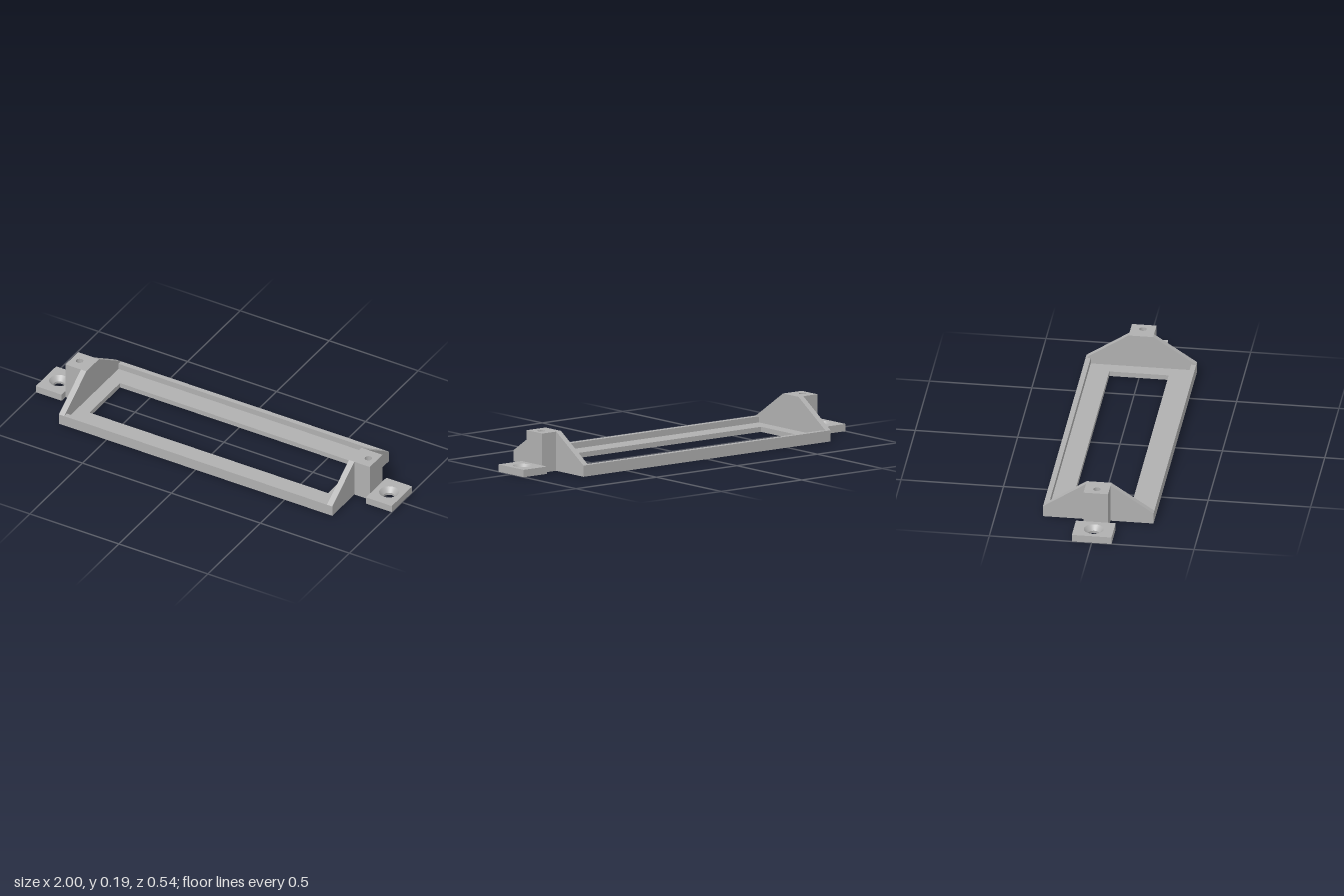
import * as THREE from 'three';

const grey = new THREE.MeshStandardMaterial({ color: 0xb0b0b0 });
grey.name = 'plain grey';

function mesh(name, geometry) {
  const m = new THREE.Mesh(geometry, grey);
  m.name = name;
  return m;
}

function rectPath(Type, w, d) {
  const p = new Type();
  p.moveTo(-w, -d);
  p.lineTo(w, -d);
  p.lineTo(w, d);
  p.lineTo(-w, d);
  p.closePath();
  return p;
}

// Rectangular slab (half sizes w, d) between heights y0 and y1 with one hole
function slab(w, d, hole, y0, y1) {
  const shape = rectPath(THREE.Shape, w, d);
  shape.holes.push(hole);
  const g = new THREE.ExtrudeGeometry(shape, { depth: y1 - y0, bevelEnabled: false, curveSegments: 16 });
  return g.rotateX(-Math.PI / 2).translate(0, y0, 0);
}

function roundHole(r) {
  return new THREE.Path().absarc(0, 0, r, 0, Math.PI * 2, true);
}

// End wall, screw post and mounting tab for the +x side
function makeEnd(name) {
  const end = new THREE.Group();
  end.name = name;

  // Sloped end wall standing on the rim
  const profile = new THREE.Shape();
  profile.moveTo(-0.27, 0.055);
  profile.lineTo(0.27, 0.055);
  profile.lineTo(0.06, 0.193);
  profile.lineTo(-0.06, 0.193);
  profile.closePath();
  const wall = new THREE.ExtrudeGeometry(profile, { depth: 0.03, bevelEnabled: false });
  end.add(mesh('endWall', wall.rotateY(Math.PI / 2).translate(0.738, 0, 0)));

  // Post with a blind screw hole
  const postX = 0.8115;
  end.add(mesh('postBase', new THREE.BoxGeometry(0.087, 0.09, 0.12).translate(postX, 0.045, 0)));
  end.add(mesh('postTop', slab(0.0435, 0.06, roundHole(0.018), 0.09, 0.193).translate(postX, 0, 0)));

  // Tab with a countersunk hole
  const tabX = 0.9275;
  end.add(mesh('tabBottom', slab(0.0725, 0.097, roundHole(0.027), 0, 0.012).translate(tabX, 0, 0)));
  end.add(mesh('tabTop', slab(0.0725, 0.097, roundHole(0.048), 0.012, 0.036).translate(tabX, 0, 0)));
  const cone = [new THREE.Vector2(0.048, 0.036), new THREE.Vector2(0.027, 0.012)];
  end.add(mesh('countersink', new THREE.LatheGeometry(cone, 32).translate(tabX, 0, 0)));
  return end;
}

export function createModel() {
  const model = new THREE.Group();
  model.name = 'mountingFrame';

  // Frame: inner ledge below a thin raised rim
  model.add(mesh('ledge', slab(0.768, 0.27, rectPath(THREE.Path, 0.67, 0.145), 0, 0.025)));
  model.add(mesh('rim', slab(0.768, 0.27, rectPath(THREE.Path, 0.738, 0.245), 0.025, 0.055)));

  const right = makeEnd('rightEnd');
  right.rotation.y = Math.PI;
  model.add(makeEnd('leftEnd'), right);
  return model;
}
